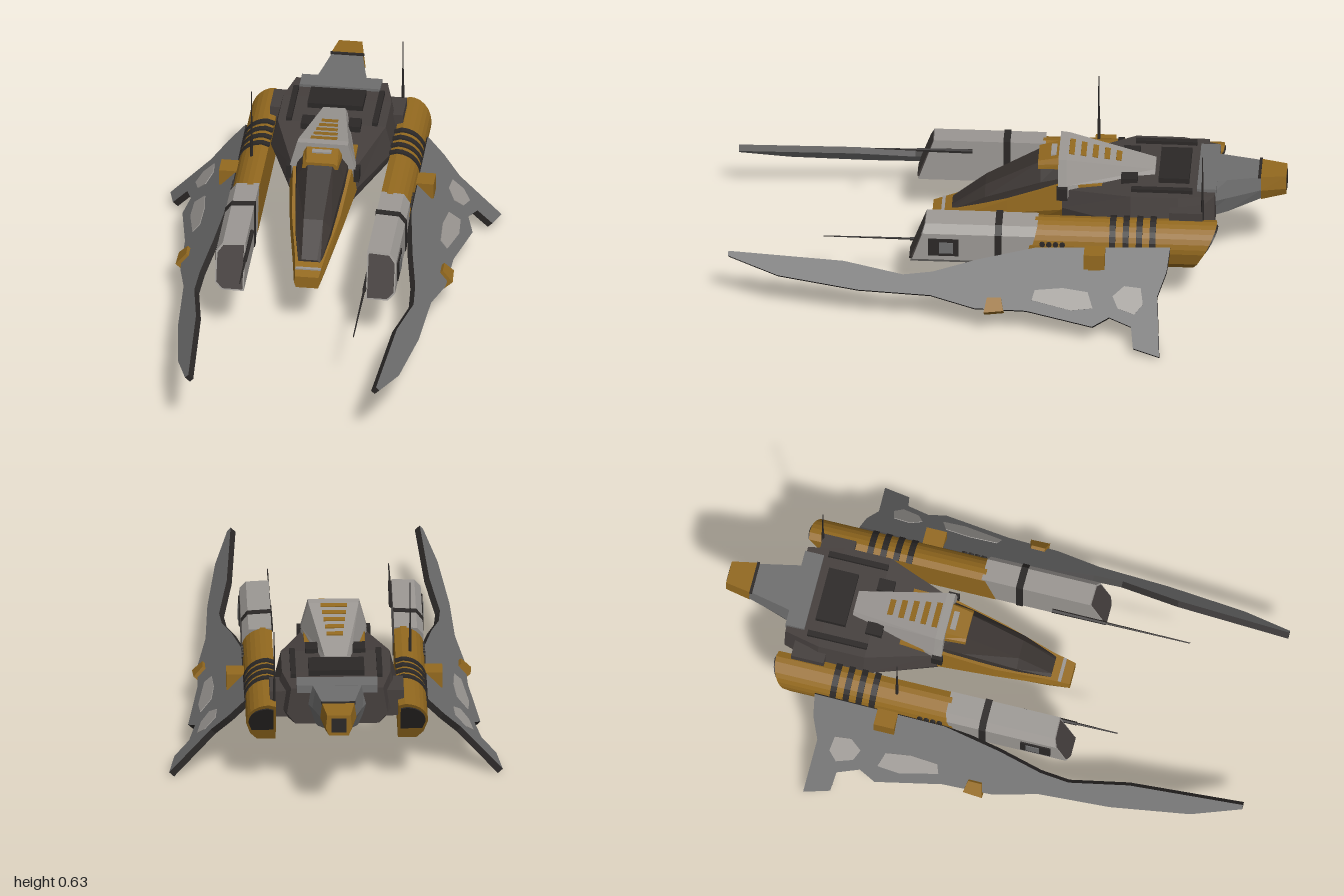
import * as THREE from 'three';

const paint = (name, color) => Object.assign(new THREE.MeshStandardMaterial({ color }), { name });

// Closed loft through rings of [x, y, z], listed front to back, counter-clockwise seen from the front
function loft(rings) {
  const p = [], n = rings[0].length;
  const tri = (a, b, c) => p.push(...a, ...b, ...c);
  for (let r = 0; r < rings.length - 1; r++) {
    for (let i = 0; i < n; i++) {
      const j = (i + 1) % n, f = rings[r], b = rings[r + 1];
      tri(f[i], b[i], b[j]);
      tri(f[i], b[j], f[j]);
    }
  }
  const front = rings[0], back = rings[rings.length - 1];
  for (let i = 1; i < n - 1; i++) {
    tri(front[0], front[i], front[i + 1]);
    tri(back[0], back[i + 1], back[i]);
  }
  const g = new THREE.BufferGeometry();
  g.setAttribute('position', new THREE.Float32BufferAttribute(p, 3));
  return g;
}

// Symmetric six-sided section: bottom, middle and top, each as height and half width
const hex = ([z, by, bw, my, mw, ty, tw]) =>
  [[bw, by, z], [mw, my, z], [tw, ty, z], [-tw, ty, z], [-mw, my, z], [-bw, by, z]];

const box = (w, h, d, x, y, z) => new THREE.BoxGeometry(w, h, d).translate(x, y, z);
const rodY = (r0, r1, x, y0, y1, z) =>
  new THREE.CylinderGeometry(r1, r0, y1 - y0, 6).translate(x, (y0 + y1) / 2, z);
const rodZ = (r0, r1, x, y, z0, z1) =>
  new THREE.CylinderGeometry(r1, r0, z1 - z0, 6).rotateX(Math.PI / 2).translate(x, y, (z0 + z1) / 2);

// Flat-shaded copy, optionally mirrored to the other side
function finish(geo, mirror) {
  const g = geo.index ? geo.toNonIndexed() : geo.clone();
  g.deleteAttribute('uv');
  if (mirror) {
    const p = g.attributes.position;
    for (let i = 0; i < p.count; i += 3) {
      const t = [0, 1, 2].map(k => [-p.getX(i + k), p.getY(i + k), p.getZ(i + k)]);
      [t[0], t[2], t[1]].forEach((v, k) => p.setXYZ(i + k, ...v));
    }
  }
  g.computeVertexNormals();
  return g;
}

// Plate lying in the sloping wing plane, drawn as [x, z] points seen from above
function wingPlate(points, thick) {
  const shape = new THREE.Shape(points.map(q => new THREE.Vector2(...q)));
  const g = new THREE.ExtrudeGeometry(shape, { depth: thick, bevelEnabled: false });
  const n = new THREE.Vector3(1.085, 1, 0.036).normalize();
  const p = g.attributes.position;
  for (let i = 0; i < p.count; i++) {
    const x = p.getX(i), z = p.getY(i), w = p.getZ(i) - thick / 2;
    const y = 0.018 + 1.085 * (0.563 - x - 0.033 * z);
    p.setXYZ(i, x - n.x * w, y - n.y * w, z - n.z * w);
  }
  return g;
}

export function createModel() {
  const orange = paint('ochre paint', 0x93691f);
  const light = paint('light grey', 0x9c9894);
  const grey = paint('mid grey', 0x6e6e6e);
  const dark = paint('dark hull', 0x453f3d);
  const black = paint('black trim', 0x2b2827);
  const glass = paint('canopy glass', 0x38322f);

  const model = new THREE.Group();
  model.name = 'spacecraft';
  const craft = new THREE.Group();
  craft.name = 'craft';
  craft.rotation.y = -0.033;
  craft.position.x = -0.022;
  model.add(craft);

  const add = (name, geo, mat, mirror = false) => {
    const m = new THREE.Mesh(finish(geo, mirror), mat);
    m.name = name;
    craft.add(m);
  };
  const pair = (name, geo, mat) => {
    add(name + 'Left', geo, mat);
    add(name + 'Right', geo, mat, true);
  };

  // Main hull and tail
  add('hull', loft([
    [-0.2, 0.28, 0.11, 0.33, 0.125, 0.4, 0.11],
    [-0.45, 0.28, 0.2, 0.33, 0.22, 0.435, 0.195],
    [-0.62, 0.28, 0.2, 0.33, 0.22, 0.435, 0.195],
    [-0.75, 0.29, 0.15, 0.33, 0.18, 0.43, 0.165]].map(hex)), dark);
  add('tail', loft([
    [-0.7, 0.28, 0.09, 0.36, 0.12, 0.442, 0.1],
    [-0.79, 0.3, 0.07, 0.37, 0.09, 0.442, 0.08],
    [-0.91, 0.345, 0.045, 0.39, 0.062, 0.442, 0.055]].map(hex)), grey);
  add('tailTip', loft([
    [-0.91, 0.343, 0.048, 0.39, 0.065, 0.445, 0.058],
    [-1, 0.36, 0.035, 0.39, 0.047, 0.44, 0.042]].map(hex)), orange);
  add('tailBand', box(0.122, 0.008, 0.01, 0, 0.444, -0.905), black);
  add('tailNozzle', box(0.055, 0.055, 0.004, 0, 0.4, -1), black);
  add('rearCollar', box(0.29, 0.03, 0.07, 0, 0.428, -0.72), grey);
  add('engineCover', box(0.2, 0.03, 0.11, 0, 0.44, -0.6), black);
  pair('pylon', box(0.1, 0.1, 0.12, 0.19, 0.35, -0.65), dark);
  pair('deckPod', box(0.045, 0.03, 0.06, 0.085, 0.437, -0.44), black);
  pair('deckRail', box(0.02, 0.02, 0.22, 0.155, 0.438, -0.56), black);

  // Cockpit tub, canopy and spine
  add('nose', loft([
    [0.27, 0.19, 0.04, 0.21, 0.047, 0.235, 0.042],
    [0.19, 0.18, 0.045, 0.23, 0.06, 0.26, 0.052],
    [0, 0.18, 0.055, 0.28, 0.095, 0.33, 0.088],
    [-0.2, 0.22, 0.065, 0.32, 0.122, 0.42, 0.108],
    [-0.45, 0.29, 0.07, 0.33, 0.14, 0.42, 0.11]].map(hex)), orange);
  add('noseStripe', box(0.092, 0.006, 0.012, 0, 0.247, 0.232), light);
  add('canopy', loft([
    [0.2, 0.25, 0.043, 0.256, 0.04, 0.264, 0.028],
    [0.08, 0.295, 0.065, 0.325, 0.065, 0.36, 0.035],
    [-0.12, 0.37, 0.09, 0.41, 0.086, 0.475, 0.045],
    [-0.2, 0.4, 0.1, 0.435, 0.092, 0.49, 0.052]].map(hex)), glass);
  add('canopyCap', loft([
    [-0.11, 0.455, 0.065, 0.47, 0.062, 0.48, 0.05],
    [-0.2, 0.46, 0.072, 0.48, 0.07, 0.503, 0.058]].map(hex)), orange);
  add('canopyCapMark', box(0.07, 0.006, 0.02, 0, 0.495, -0.165), light);
  add('spine', loft([
    [-0.185, 0.37, 0.126, 0.42, 0.117, 0.515, 0.092],
    [-0.215, 0.37, 0.126, 0.42, 0.117, 0.513, 0.09],
    [-0.53, 0.42, 0.052, 0.43, 0.05, 0.452, 0.04]].map(hex)), light);
  pair('archTrim', box(0.02, 0.05, 0.04, 0.122, 0.39, -0.2), black);
  for (let i = 0; i < 5; i++) {
    const z = -0.23 - i * 0.042;
    const rung = new THREE.BoxGeometry(0.095 - i * 0.009, 0.008, 0.02).rotateX(-0.19);
    add('spineSlat' + i, rung.translate(0, 0.515 + (z + 0.2) * 0.192, z), orange);
  }

  // Nacelles: faceted light front, rounded ochre rear
  const frontOutline = [[0.22, 0.2], [0.3, 0.2], [0.325, 0.225], [0.325, 0.335], [0.302, 0.365], [0.22, 0.37]];
  const rearOutline = [[0.22, 0.2], [0.285, 0.2], [0.31, 0.23]];
  for (let i = 0; i <= 7; i++) {
    const a = -0.1 + i * 0.24;
    rearOutline.push([0.245 + 0.08 * Math.cos(a), 0.288 + 0.08 * Math.sin(a)]);
  }
  rearOutline.push([0.22, 0.36]);
  const ring = (outline, z, slant, grow = 1) => outline.map(([x, y]) =>
    [0.272 + (x - 0.272) * grow, 0.285 + (y - 0.285) * grow, z - (y - 0.2) * slant]);
  const tube = (outline, z0, s0, z1, s1, grow) => loft([ring(outline, z0, s0, grow), ring(outline, z1, s1, grow)]);
  pair('nacelleFront', tube(frontOutline, 0.335, 0.33, -0.08, 0.25), light);
  pair('nacelleIntake', tube(frontOutline, 0.339, 0.33, 0.33, 0.33, 0.9), dark);
  pair('nacelleBand', tube(frontOutline, 0.03, 0, 0.005, 0, 1.05), black);
  pair('nacelleRear', tube(rearOutline, -0.07, 0.25, -0.68, 0.5, 1.02), orange);
  pair('nacelleExhaust', tube(rearOutline, -0.675, 0.5, -0.684, 0.5, 0.85), black);
  for (let i = 0; i < 4; i++) {
    const z = -0.38 - i * 0.048;
    pair('coolingRib' + i, tube(rearOutline.slice(2), z, 0, z - 0.022, 0, 1.1), black);
    const stud = new THREE.CylinderGeometry(0.01, 0.01, 0.008, 8).rotateZ(Math.PI / 2);
    pair('stud' + i, stud.translate(0.325, 0.305, -0.14 - i * 0.024), black);
  }
  pair('sidePort', box(0.012, 0.07, 0.11, 0.324, 0.28, 0.215), black);
  pair('sidePortCover', box(0.016, 0.045, 0.05, 0.325, 0.28, 0.205), grey);
  pair('wingClamp', box(0.075, 0.06, 0.075, 0.35, 0.275, -0.33), orange);
  pair('wingClampFoot', box(0.04, 0.04, 0.045, 0.365, 0.238, -0.33), orange);

  // Swept wings with long forward blades
  pair('wing', wingPlate([
    [0.32, -0.6], [0.38, -0.59], [0.44, -0.56], [0.589, -0.575], [0.568, -0.48], [0.515, -0.47],
    [0.492, -0.39], [0.515, -0.33], [0.476, -0.09], [0.47, 0.095], [0.438, 0.255], [0.425, 0.515],
    [0.39, 0.805], [0.342, 0.985], [0.33, 0.985], [0.354, 0.57], [0.387, 0.355], [0.38, 0.25],
    [0.35, 0.09], [0.32, -0.12]], 0.024), [grey, black]);
  pair('wingPatchRear', wingPlate([
    [0.42, -0.5], [0.46, -0.51], [0.485, -0.48], [0.47, -0.42], [0.44, -0.4], [0.415, -0.44]], 0.029), light);
  pair('wingPatchFront', wingPlate([
    [0.43, -0.31], [0.47, -0.33], [0.475, -0.25], [0.45, -0.11], [0.425, -0.12], [0.42, -0.22]], 0.029), light);
  pair('wingClip', wingPlate([
    [0.445, 0], [0.478, -0.01], [0.482, 0.06], [0.445, 0.05]], 0.05), orange);

  // Antennas and forward probes
  const mast = (name, x, z, base) => {
    add(name + 'Base', rodY(0.006, 0.005, x, 0.35, base, z), black);
    add(name, rodY(0.0035, 0.002, x, base, 0.635, z), black);
  };
  mast('antennaRight', -0.272, -0.31, 0.45);
  mast('antennaLeft', 0.225, -0.71, 0.45);
  const probe = (name, x, y, tip) => {
    add(name + 'Mount', rodZ(0.009, 0.007, x, y, 0.14, 0.34), black);
    add(name, rodZ(0.0045, 0.002, x, y, 0.34, tip), black);
  };
  probe('probeRight', -0.215, 0.33, 0.49);
  probe('probeLeft', 0.215, 0.237, 0.65);

  return model;
}
